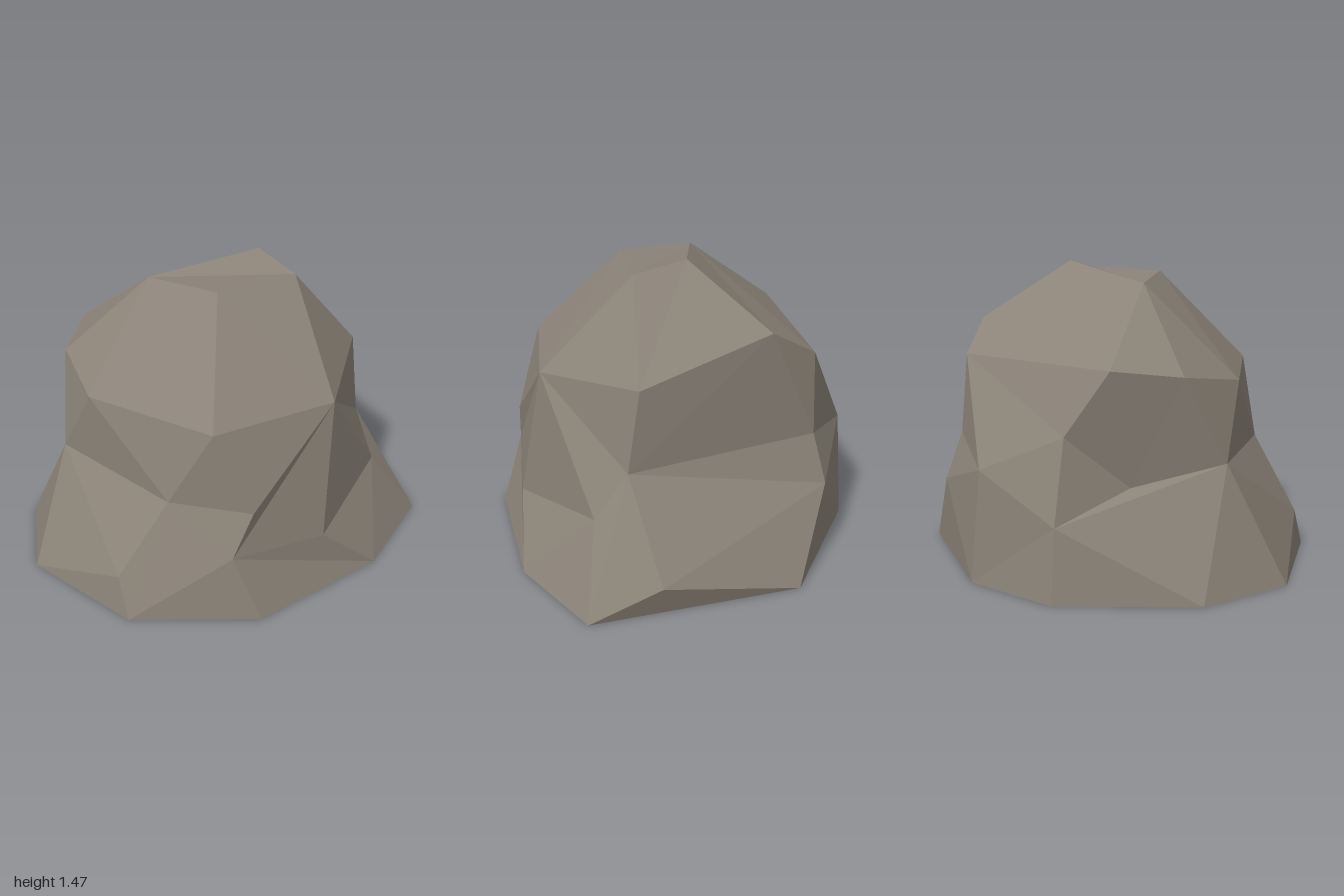
import * as THREE from 'three';

// Closed outlines of the boulder from ground to crown, counterclockwise seen from above.
// Neighbouring rings may share a corner, where the band between them pinches shut.
const base = [
  [-1, 0, -0.04], [-0.78, 0, 0.56], [-0.23, 0, 0.88], [0.5, 0, 0.82], [0.98, 0, 0.56],
  [0.88, 0, -0.46], [0.23, 0, -0.88], [-0.26, 0, -0.88], [-0.82, 0, -0.49],
];
const leftHollow = [-0.74, 0.58, -0.17];
const leftLedge = [-0.52, 0.56, 0.5];
const rightLedge = [0.71, 0.6, 0.33];
const backLedge = [0.19, 0.55, -0.85];
const brow = [0.28, 0.95, 0.68];

const skirt = [
  leftHollow, [-0.78, 0.2, 0.47], leftLedge, [-0.33, 0.33, 0.77], [0.18, 0.28, 0.79],
  [0.71, 0.38, 0.49], rightLedge, [1, 0.16, 0.22], [0.61, 0.4, -0.65], backLedge, [-0.25, 0.35, -0.84],
];
const waist = [
  leftHollow, leftLedge, [-0.22, 0.55, 0.77], brow, rightLedge,
  [0.54, 0.64, -0.6], backLedge, [-0.22, 0.74, -0.73], [-0.41, 0.48, -0.48],
];
const shoulder = [
  [-0.68, 0.94, 0.03], [-0.36, 0.95, 0.64], brow, [0.7, 1, 0.27],
  [0.6, 1.19, -0.36], [0.49, 1.04, -0.6], [-0.39, 1.04, -0.61], [-0.62, 1, -0.36],
];
const crown = [[-0.25, 1.39, -0.15], [-0.09, 1.42, 0.23], [0.34, 1.42, 0.24], [0.3, 1.47, -0.02]];

// Zip two rings together: each letter steps along the lower (L) or upper (U) ring.
function band(triangles, lower, upper, steps) {
  let i = 0, j = 0;
  for (const step of steps) {
    const l = lower[i % lower.length], u = upper[j % upper.length];
    const next = step === 'L' ? lower[++i % lower.length] : upper[++j % upper.length];
    if (l !== u && l !== next && u !== next) triangles.push(l, next, u);
  }
}

// Close a ring with a fan of triangles.
function cap(triangles, ring) {
  for (let i = 1; i < ring.length - 1; i++) triangles.push(ring[0], ring[i], ring[i + 1]);
}

export function createModel() {
  const triangles = [];
  band(triangles, base, skirt, 'ULUULLUULUULULUULLUL');
  band(triangles, skirt, waist, 'LLUULULLLULLULUULULU');
  band(triangles, waist, shoulder, 'LULULLUULULLULULU');
  band(triangles, shoulder, crown, 'ULLULULULLLL');
  cap(triangles, crown);
  cap(triangles, [...base].reverse());

  const geometry = new THREE.BufferGeometry();
  geometry.setAttribute('position', new THREE.Float32BufferAttribute(triangles.flat(), 3));
  geometry.computeVertexNormals(); // unshared corners give flat facets

  const stone = new THREE.MeshStandardMaterial({ color: 0x8b8378, flatShading: true });
  stone.name = 'stone';
  const boulder = new THREE.Mesh(geometry, stone);
  boulder.name = 'boulder';

  const model = new THREE.Group();
  model.name = 'rock';
  model.add(boulder);
  return model;
}
